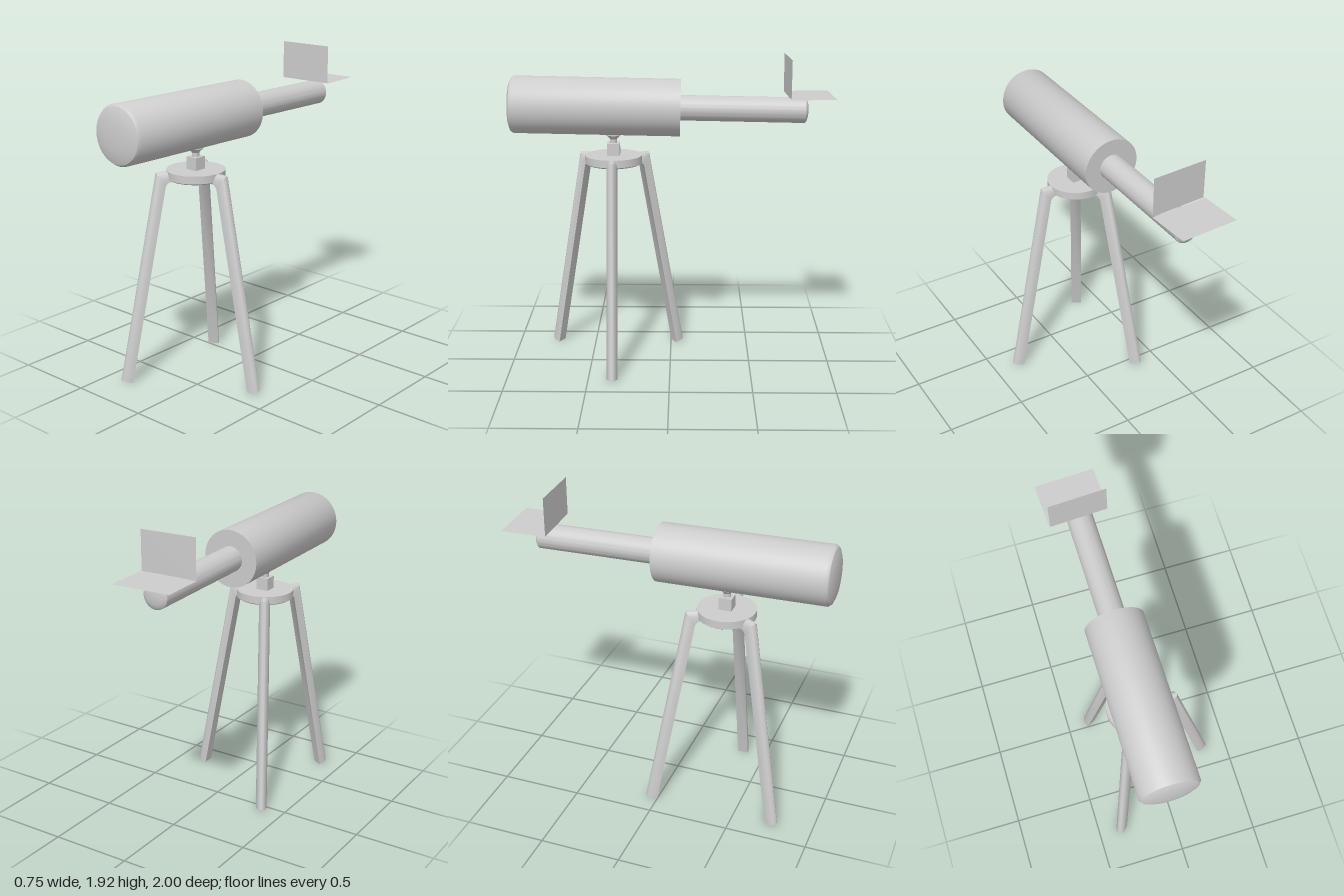
import * as THREE from 'three';
import { toCreasedNormals } from 'three/addons/utils/BufferGeometryUtils.js';

const CX = -0.125, CZ = 0.353; // tripod axis

// Turned part from [radius, height] pairs
function turned(pairs, segments = 48) {
  const points = pairs.map(([r, h]) => new THREE.Vector2(r, h));
  return toCreasedNormals(new THREE.LatheGeometry(points, segments), 0.6);
}

// Leg running out along +x: a D-shaped section, flat inside and rounded outside,
// lofted through pairs of inner and outer points [x, y]
function legGeometry() {
  const stations = [
    { inner: [0.14, 1.256], outer: [0.14, 1.314] },
    { inner: [0.175, 1.254], outer: [0.215, 1.315] },
    { inner: [0.194, 1.235], outer: [0.246, 1.312] },
    { inner: [0.43, 0.0], outer: [0.495, 0.014] },
  ];
  const N = 12, half = 0.034, positions = [];
  const rings = stations.map(({ inner, outer }) => {
    const ring = [];
    for (let i = 0; i <= N; i++) {
      const a = (i / N) * Math.PI, t = Math.sin(a);
      ring.push([
        inner[0] + (outer[0] - inner[0]) * t,
        inner[1] + (outer[1] - inner[1]) * t,
        half * Math.cos(a),
      ]);
    }
    return ring;
  });
  const tri = (a, b, c) => positions.push(...a, ...b, ...c);
  const count = N + 1;
  for (let s = 0; s < rings.length - 1; s++) {
    for (let i = 0; i < count; i++) {
      const j = (i + 1) % count;
      const a = rings[s][i], b = rings[s][j], c = rings[s + 1][j], d = rings[s + 1][i];
      tri(a, b, c);
      tri(a, c, d);
    }
  }
  const first = rings[0], last = rings[rings.length - 1];
  for (let i = 1; i < N; i++) {
    tri(first[0], first[i + 1], first[i]);
    tri(last[0], last[i], last[i + 1]);
  }
  const geometry = new THREE.BufferGeometry();
  geometry.setAttribute('position', new THREE.Float32BufferAttribute(positions, 3));
  return toCreasedNormals(geometry, 0.7);
}

export function createModel() {
  const model = new THREE.Group();
  model.name = 'telescope';
  const grey = new THREE.MeshStandardMaterial({ color: 0xcccccc, side: THREE.DoubleSide });
  grey.name = 'light grey';

  const add = (parent, name, geometry, x = 0, y = 0, z = 0) => {
    const mesh = new THREE.Mesh(geometry, grey);
    mesh.name = name;
    mesh.position.set(x, y, z);
    parent.add(mesh);
    return mesh;
  };

  // Optical tube, tipped slightly up at the front
  const tube = new THREE.Group();
  tube.name = 'opticalTube';
  tube.position.set(-0.129, 1.61, -0.06);
  tube.rotation.set(-0.02, 0.008, 0);
  model.add(tube);
  add(tube, 'mainBarrel', turned([
    [0, 0], [0.176, 0], [0.176, 1.02], [0.164, 1.038], [0.135, 1.049], [0.08, 1.057], [0, 1.06],
  ], 64).rotateX(Math.PI / 2));
  add(tube, 'eyepieceBarrel', turned([
    [0, -0.784], [0.045, -0.781], [0.066, -0.775], [0.078, -0.765], [0.078, 0.02],
  ]).rotateX(Math.PI / 2));

  // Two thin plates above the eyepiece
  const shelf = add(model, 'flatPlate',
    new THREE.PlaneGeometry(0.36, 0.27).rotateX(-Math.PI / 2), -0.155, 1.684, -0.859);
  shelf.rotation.y = 0.048;
  const screen = add(model, 'uprightPlate',
    new THREE.PlaneGeometry(0.348, 0.238), -0.148, 1.803, -0.717);
  screen.rotation.y = 0.055;

  // Swivel mount
  add(model, 'mountBlock', new THREE.BoxGeometry(0.078, 0.08, 0.078), CX, 1.352, CZ);
  add(model, 'mountNeck', turned([
    [0.022, 1.38], [0.022, 1.415], [0.03, 1.425], [0.046, 1.44], [0.046, 1.46],
  ], 24), CX, 0, CZ);

  // Tripod
  const tripod = new THREE.Group();
  tripod.name = 'tripod';
  tripod.position.set(CX, 0, CZ);
  model.add(tripod);
  add(tripod, 'tripodDisc', turned([
    [0, 1.256], [0.165, 1.26], [0.177, 1.268], [0.177, 1.315], [0, 1.315],
  ]));
  const leg = legGeometry();
  for (let i = 0; i < 3; i++) {
    add(tripod, 'tripodLeg', leg).rotation.y = (i * Math.PI * 2) / 3;
  }
  return model;
}
